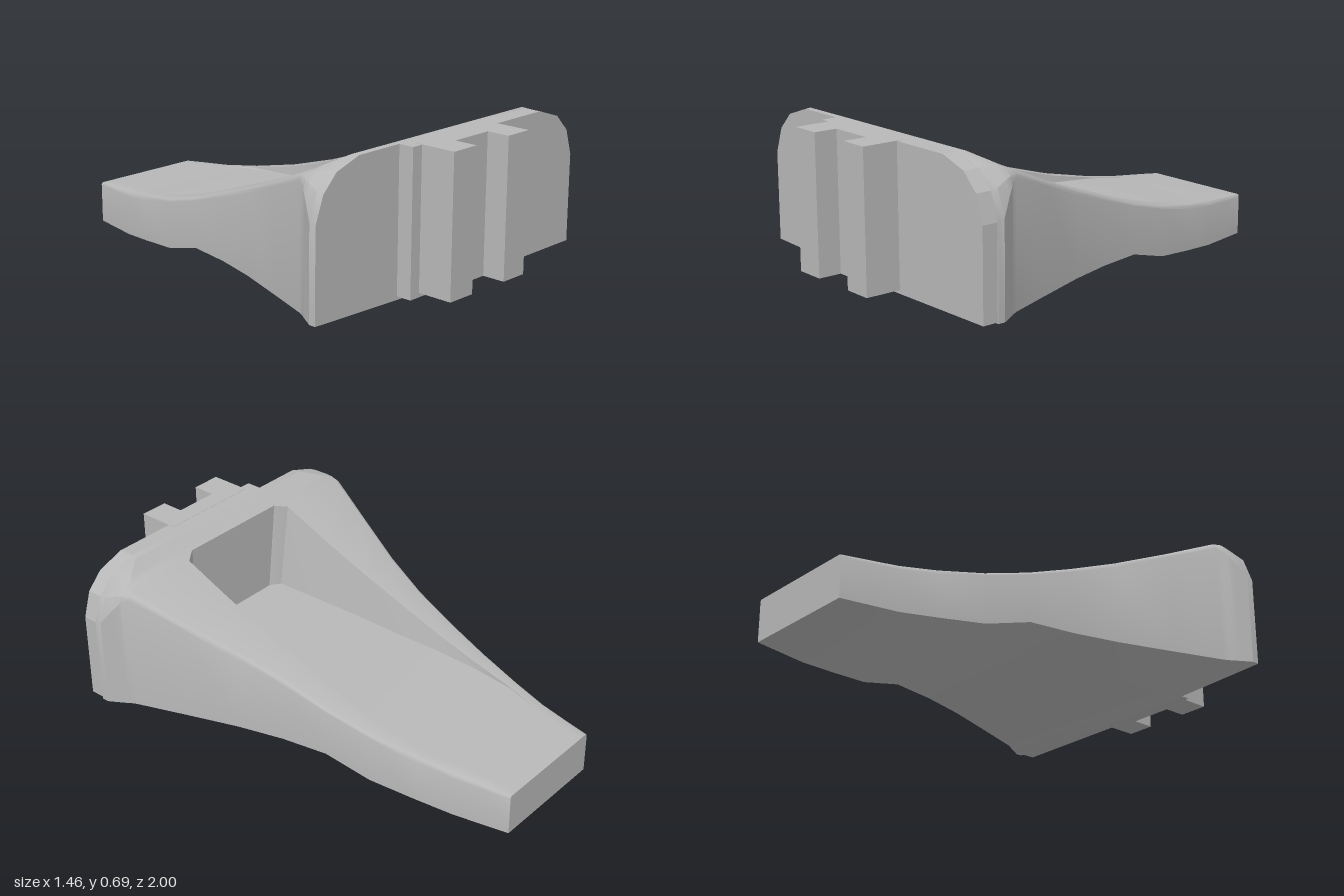
import * as THREE from 'three';
import { toCreasedNormals } from 'three/addons/utils/BufferGeometryUtils.js';

const grey = new THREE.MeshStandardMaterial({ color: 0xb8b8b8 });
grey.name = 'grey';

// Stations from front to back:
// z, half width, bottom, bottom ridge, outer edge top, rim top, recess half width, recess floor
const STATIONS = [
  [0.78, 0.73, 0.09, 0.075, 0.47, 0.69, 0.26, 0.69],
  [0.75, 0.73, 0.09, 0.065, 0.48, 0.69, 0.26, 0.69],
  [0.70, 0.70, 0.09, 0.06, 0.55, 0.66, 0.26, 0.66],
  [0.675, 0.685, 0.09, 0.061, 0.58, 0.645, 0.26, 0.645],
  [0.67, 0.68, 0.09, 0.062, 0.585, 0.643, 0.265, 0.26],
  [0.64, 0.665, 0.09, 0.063, 0.60, 0.63, 0.31, 0.26],
  [0.43, 0.59, 0.09, 0.072, 0.52, 0.54, 0.31, 0.255],
  [0.20, 0.51, 0.09, 0.082, 0.43, 0.45, 0.31, 0.25],
  [0.00, 0.455, 0.09, 0.09, 0.36, 0.38, 0.31, 0.24],
  [-0.20, 0.42, 0.09, 0.09, 0.295, 0.31, 0.31, 0.235],
  [-0.40, 0.385, 0.035, 0.035, 0.24, 0.255, 0.305, 0.225],
  [-0.60, 0.345, 0.014, 0.014, 0.20, 0.218, 0.29, 0.213],
  [-0.76, 0.312, 0, 0, 0.175, 0.20, 0.25, 0.20],
  [-0.90, 0.285, 0, 0, 0.17, 0.19, 0.23, 0.19],
  [-1.00, 0.265, 0, 0, 0.172, 0.18, 0.22, 0.18],
];
// Rounded shoulder: inward offset and share of the rise
const SHOULDER = [[0, 0], [0.04, 0.5], [0.11, 0.82], [0.23, 1]];

function section([z, w, bottom, ridge, edge, top, inner, floor]) {
  const k = (top - edge) / 0.22;
  const side = SHOULDER.map(([dx, dy]) => [w - dx * k, edge + dy * (top - edge)]);
  // The right recess wall leans inward toward the front
  const lean = inner > 0.255 && floor < top - 0.01 ? Math.max(0, 0.05 * (z + 0.5)) : 0;
  return [
    [-0.37 * w, ridge], [w, bottom], ...side, [inner, top],
    [inner - 0.005, floor], [-inner + lean, floor], [-inner, top],
    ...side.map(([x, y]) => [-x, y]).reverse(), [-w, bottom],
  ].map(([x, y]) => [x, y, z]);
}

function loft(sections) {
  const n = sections[0].length;
  const last = sections.length - 1;
  const index = [];
  for (let i = 0; i < last; i++) {
    for (let j = 0; j < n; j++) {
      const k = (j + 1) % n;
      const a = i * n + j, b = i * n + k, c = a + n, d = b + n;
      index.push(a, c, b, b, c, d);
    }
  }
  // End caps
  for (let j = 1; j < n - 1; j++) {
    index.push(0, j, j + 1, last * n, last * n + j + 1, last * n + j);
  }
  const g = new THREE.BufferGeometry();
  g.setAttribute('position', new THREE.Float32BufferAttribute(sections.flat(2), 3));
  g.setIndex(index);
  return toCreasedNormals(g.toNonIndexed(), 0.45);
}

function extrude(points, depth) {
  const shape = new THREE.Shape(points.map(([x, y]) => new THREE.Vector2(x, y)));
  return new THREE.ExtrudeGeometry(shape, { depth, bevelEnabled: false });
}

export function createModel() {
  const model = new THREE.Group();
  const add = (name, geometry) => {
    const mesh = new THREE.Mesh(geometry, grey);
    mesh.name = name;
    model.add(mesh);
    return mesh;
  };

  // Flared body with the open recess
  add('body', loft(STATIONS.map(section)));

  // Raised front plate, reaching the left side only
  const plate = add('frontPlate', extrude([
    [-0.28, 0.09], [0.725, 0.095], [0.725, 0.47], [0.69, 0.58],
    [0.62, 0.65], [0.5, 0.69], [-0.28, 0.69],
  ], 0.07));
  plate.position.z = 0.777;

  // Forked connector: footprint drawn in x and -z, raised in y
  const connector = add('forkedConnector', extrude([
    [-0.23, -0.82], [-0.23, -1], [-0.1, -1], [-0.1, -0.9],
    [0.095, -0.9], [0.095, -1], [0.22, -1], [0.22, -0.82],
  ], 0.583));
  connector.rotation.x = -Math.PI / 2;
  connector.position.y = 0.108;

  return model;
}
